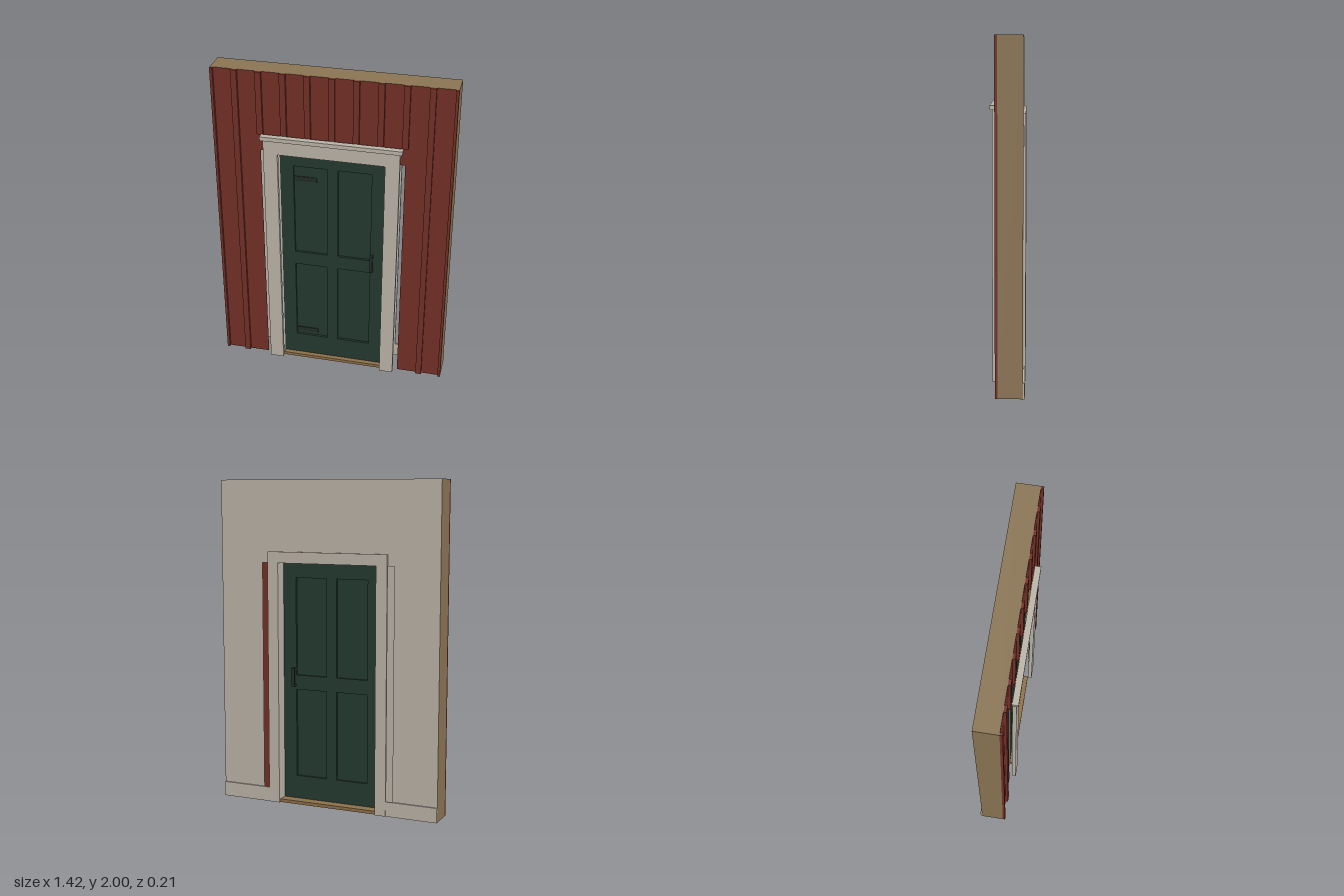
import * as THREE from 'three';

const mat = (name, color, side = THREE.FrontSide) => {
  const m = new THREE.MeshStandardMaterial({ color, side });
  m.name = name;
  return m;
};

export function createModel() {
  const model = new THREE.Group();
  model.name = 'doorInWall';

  const red = mat('red siding', 0x722f26, THREE.DoubleSide);
  const plaster = mat('plaster', 0xbab3a7, THREE.DoubleSide);
  const trim = mat('trim paint', 0xbab3a7);
  const wood = mat('wall wood', 0x8a7454, THREE.DoubleSide);
  const sillWood = mat('threshold wood', 0x8c6f49);
  const green = mat('door green', 0x24392f);
  const iron = mat('dark iron', 0x222d29);

  // Box given by its two extreme corners
  const box = (name, m, x0, x1, y0, y1, z0, z1, parent = model) => {
    const mesh = new THREE.Mesh(new THREE.BoxGeometry(x1 - x0, y1 - y0, z1 - z0), m);
    mesh.position.set((x0 + x1) / 2, (y0 + y1) / 2, (z0 + z1) / 2);
    mesh.name = name;
    parent.add(mesh);
    return mesh;
  };
  const rect = (path, x0, x1, y0, y1) => {
    path.moveTo(x0, y0);
    path.lineTo(x1, y0);
    path.lineTo(x1, y1);
    path.lineTo(x0, y1);
    path.closePath();
    return path;
  };

  const W = 0.712, H = 2, front = 0.05, back = -0.09;
  const holeX = 0.43, doorX = 0.32, doorTop = 1.5;

  // Hollow wall: front and back skins with an opening down to the floor
  const skin = new THREE.Shape();
  [[-W, 0], [-holeX, 0], [-holeX, doorTop], [holeX, doorTop], [holeX, 0], [W, 0], [W, H], [-W, H]]
    .forEach(([x, y], i) => (i ? skin.lineTo(x, y) : skin.moveTo(x, y)));
  const siding = new THREE.Mesh(new THREE.ShapeGeometry(skin), red);
  siding.name = 'siding';
  siding.position.z = front;
  const innerWall = new THREE.Mesh(new THREE.ShapeGeometry(skin).rotateY(Math.PI), plaster);
  innerWall.name = 'innerWall';
  innerWall.position.z = back;
  model.add(siding, innerWall);

  // Wall ends and top
  const depth = front - back, midZ = (front + back) / 2;
  for (const s of [-1, 1]) {
    const end = new THREE.Mesh(new THREE.PlaneGeometry(depth, H).rotateY(s * Math.PI / 2), wood);
    end.name = 'wallEnd';
    end.position.set(s * W, H / 2, midZ);
    model.add(end);
  }
  const top = new THREE.Mesh(new THREE.PlaneGeometry(2 * W, depth).rotateX(-Math.PI / 2), wood);
  top.name = 'wallTop';
  top.position.set(0, H, midZ);
  model.add(top);

  // Battens, stopping above the door; those at the corners are half width
  for (let i = -5; i <= 5; i++) {
    const x = i * 0.1427;
    const bottom = Math.abs(i) < 4 ? 1.61 : 0;
    box('batten', red, Math.max(x - 0.018, -W), Math.min(x + 0.018, W), bottom, H, front, 0.066);
  }

  // Casings, jambs and baseboards on both sides of the door
  for (const s of [-1, 1]) {
    const side = (name, x0, x1, y0, y1, z0, z1) =>
      box(name, trim, Math.min(s * x0, s * x1), Math.max(s * x0, s * x1), y0, y1, z0, z1);
    side('outerCasing', doorX, 0.405, 0, doorTop, 0.066, 0.09);
    side('innerCasing', doorX, 0.39, 0, doorTop, -0.103, back);
    side('jamb', doorX, 0.338, 0, doorTop, back, 0.035);
    side('baseboard', 0.39, W, 0, 0.09, -0.1, back);
  }
  box('outerHeader', trim, -0.405, 0.405, doorTop, 1.588, 0.066, 0.09);
  box('headerCap', trim, -0.42, 0.42, 1.588, 1.613, 0.066, 0.103);
  box('innerHeader', trim, -0.39, 0.39, doorTop, 1.568, -0.103, back);
  box('headJamb', trim, -0.338, 0.338, doorTop, 1.518, back, 0.035);
  box('threshold', sillWood, -doorX, doorX, 0, 0.02, back, 0.064);

  // Door frame with four openings, and recessed panels behind them
  const door = new THREE.Group();
  door.name = 'door';
  model.add(door);
  const doorBack = -0.025, doorFront = 0.035;
  const leaf = rect(new THREE.Shape(), -doorX, doorX, 0.02, doorTop);
  for (const [x0, x1] of [[-0.238, -0.035], [0.032, 0.235]]) {
    for (const [y0, y1] of [[0.165, 0.715], [0.805, 1.408]]) {
      leaf.holes.push(rect(new THREE.Path(), x0, x1, y0, y1));
      box('doorPanel', green, x0, x1, y0, y1, doorBack + 0.014, doorFront - 0.014, door);
    }
  }
  const frame = new THREE.Mesh(
    new THREE.ExtrudeGeometry(leaf, { depth: doorFront - doorBack, bevelEnabled: false }), green);
  frame.name = 'doorFrame';
  frame.position.z = doorBack;
  door.add(frame);

  // Strap hinges, showing only inside the recesses
  for (const y of [0.2, 1.32])
    box('hinge', iron, -0.325, -0.1, y - 0.016, y + 0.016, doorBack + 0.02, doorFront - 0.01, door);

  // Pull handles on both faces
  for (const [face, dir] of [[doorFront, 1], [doorBack, -1]]) {
    const handle = new THREE.Group();
    handle.name = 'handle';
    const part = (name, y0, y1, a, b) => box(name, iron, 0.236, 0.254, y0, y1,
      Math.min(face + dir * a, face + dir * b), Math.max(face + dir * a, face + dir * b), handle);
    part('handleGrip', 0.735, 0.85, 0.018, 0.029);
    part('handlePost', 0.735, 0.75, 0, 0.018);
    part('handlePost', 0.835, 0.85, 0, 0.018);
    door.add(handle);
  }
  return model;
}
